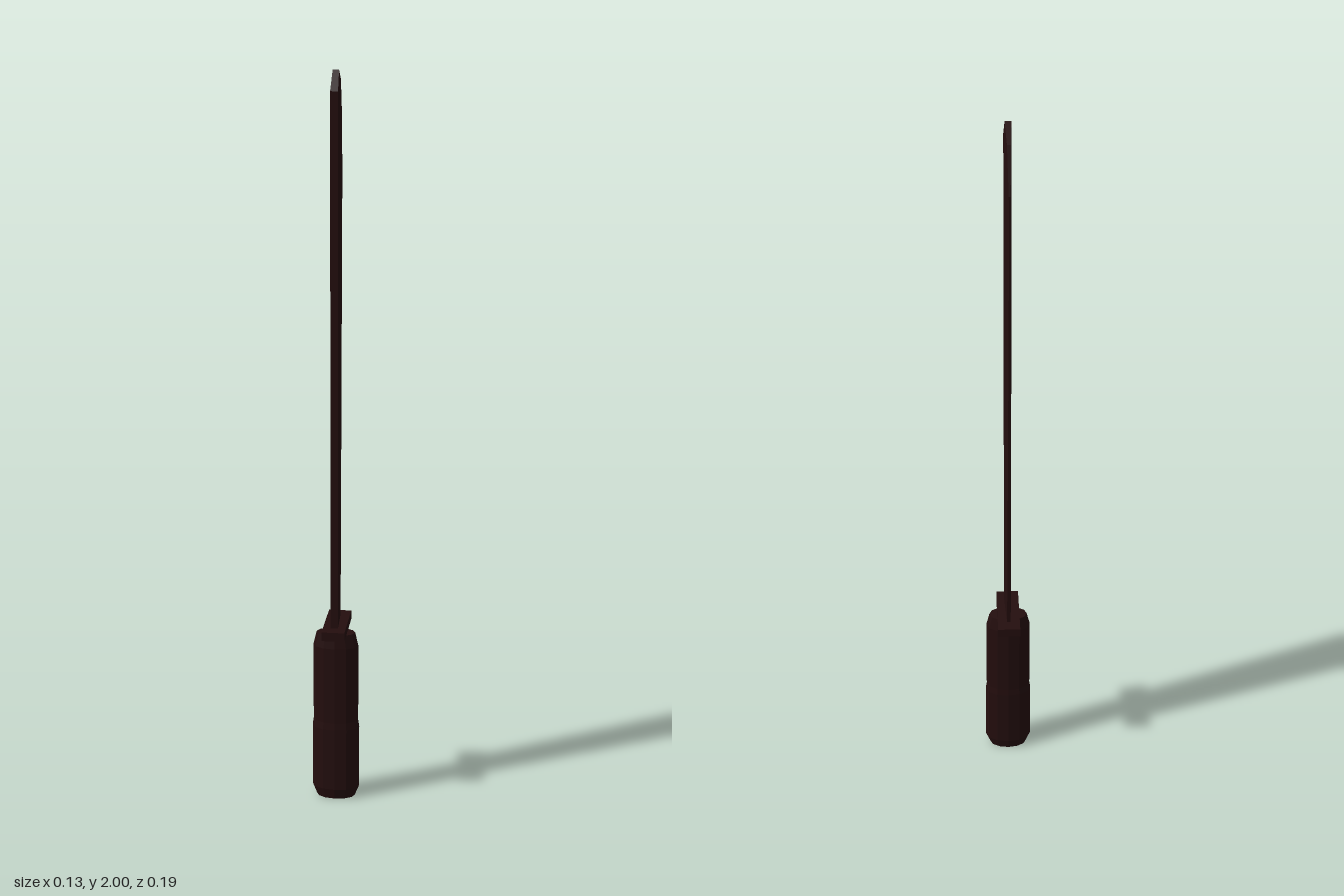
import * as THREE from 'three';

const darkWood = new THREE.MeshStandardMaterial({ color: 0x240e0e, flatShading: true });
darkWood.name = 'dark reddish brown';

function addPart(group, name, geometry) {
  const mesh = new THREE.Mesh(geometry, darkWood);
  mesh.name = name;
  group.add(mesh);
  return mesh;
}

// Blade: side outline (z, y) extruded, then thinned from the spine to the cutting edge
function bladeGeometry() {
  const spine = 0.065, edge = -0.097;
  const outline = [
    [spine, 0.5], [-0.04, 0.5], [edge, 1.69], [-0.091, 1.86],
    [-0.042, 1.97], [0.026, 2.0], [spine, 1.95],
  ].map(([z, y]) => new THREE.Vector2(z, y));
  const geometry = new THREE.ExtrudeGeometry(new THREE.Shape(outline), { depth: 2, bevelEnabled: false });
  geometry.translate(0, 0, -1);
  geometry.rotateY(-Math.PI / 2);
  const pos = geometry.attributes.position;
  for (let i = 0; i < pos.count; i++) {
    const t = (pos.getZ(i) - edge) / (spine - edge);
    pos.setX(i, pos.getX(i) * THREE.MathUtils.lerp(0.002, 0.01, t));
  }
  geometry.computeVertexNormals();
  return geometry;
}

// Grip: twelve-sided oval with rounded-off ends
function gripGeometry() {
  const profile = [
    [0, 0], [0.053, 0], [0.065, 0.03], [0.065, 0.21],
    [0.062, 0.23], [0.062, 0.45], [0.053, 0.488], [0, 0.488],
  ].map(([r, y]) => new THREE.Vector2(r, y));
  const geometry = new THREE.LatheGeometry(profile, 12);
  geometry.scale(1, 1, 0.58);
  geometry.translate(0, 0, 0.027);
  return geometry;
}

export function createModel() {
  const group = new THREE.Group();
  group.name = 'machete';
  addPart(group, 'blade', bladeGeometry());
  addPart(group, 'grip', gripGeometry());
  // Guard: flat crosspiece between grip and blade
  addPart(group, 'guard', new THREE.BoxGeometry(0.062, 0.025, 0.17)).position.set(0, 0.5, 0.012);
  return group;
}
